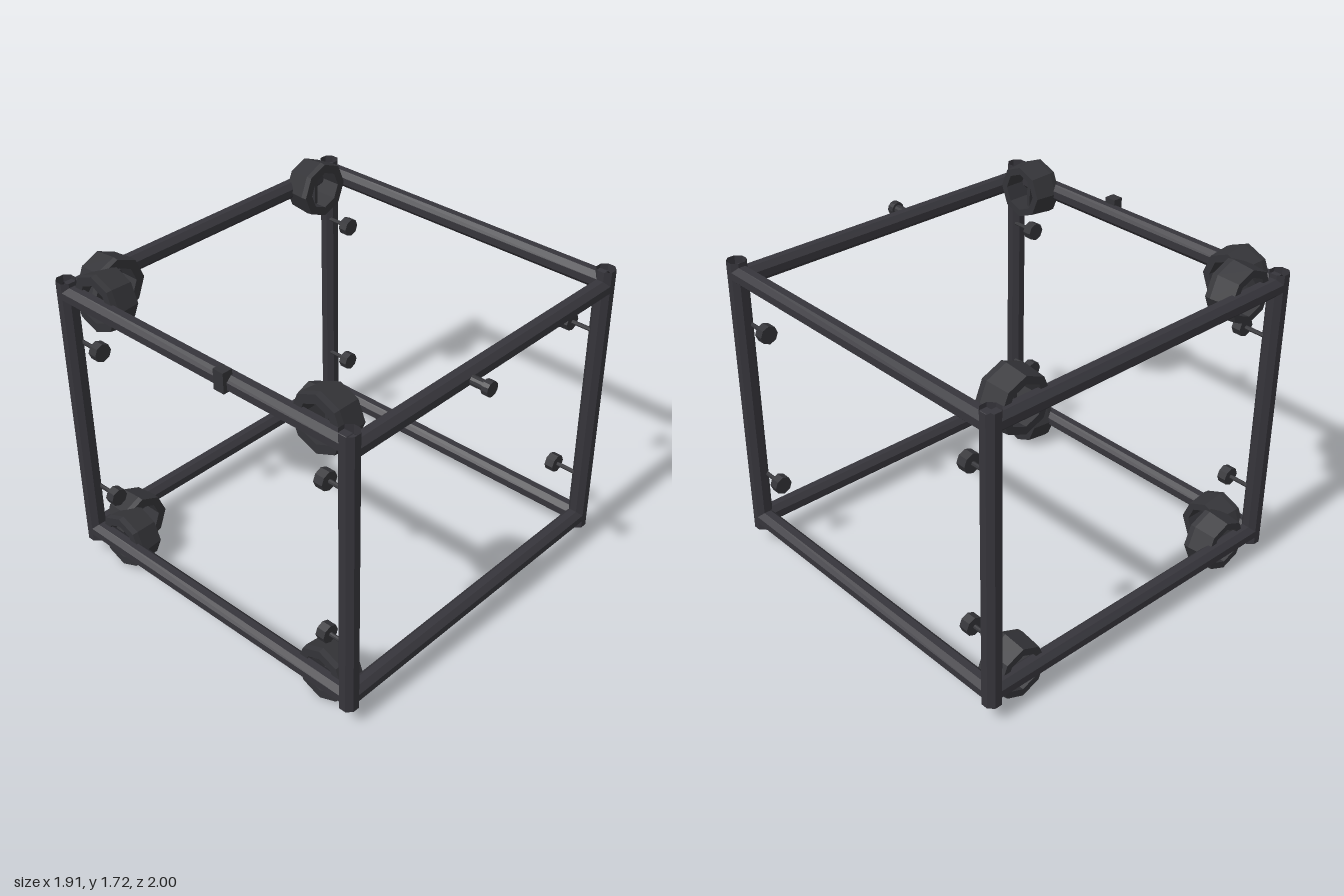
import * as THREE from 'three';

export function createModel() {
  const model = new THREE.Group();
  const frameMat = new THREE.MeshStandardMaterial({ color: 0x36353b, side: THREE.DoubleSide });
  frameMat.name = 'charcoal frame';
  const fittingMat = new THREE.MeshStandardMaterial({ color: 0x343438 });
  fittingMat.name = 'dark fittings';

  // Faceted copy of a geometry
  const facet = (g) => {
    const f = g.index ? g.toNonIndexed() : g;
    f.computeVertexNormals();
    return f;
  };
  const add = (name, geometry, material, x, y, z) => {
    const mesh = new THREE.Mesh(geometry, material);
    mesh.name = name;
    mesh.position.set(x, y, z);
    model.add(mesh);
    return mesh;
  };
  // Turn a y-axis geometry to run along another axis
  const along = (g, axis) => {
    if (axis === 'x') g.rotateZ(-Math.PI / 2);
    if (axis === 'z') g.rotateX(Math.PI / 2);
    return facet(g);
  };
  // Eight-sided open tube with flats facing the axes
  const tube = (length, axis) => along(
    new THREE.CylinderGeometry(0.0495, 0.0495, length, 8, 1, true, Math.PI / 8), axis);
  const rod = (radius, length, axis, sides = 8) => along(
    new THREE.CylinderGeometry(radius, radius, length, sides), axis);

  const left = 0.907, right = -0.893, front = 0.846, back = -0.952;
  const midX = (left + right) / 2, midZ = (front + back) / 2;
  const low = 0.157, high = 1.573;

  // Corner posts
  for (const x of [left, right]) {
    for (const z of [front, back]) add('cornerPost', tube(1.545, 'y'), frameMat, x, 0.868, z);
  }

  // Horizontal rails; the front top rail sits slightly lower
  for (const y of [low, high]) {
    for (const x of [left, right]) add('sideRail', tube(front - back, 'z'), frameMat, x, y, midZ);
    add('backRail', tube(left - right, 'x'), frameMat, midX, y, back);
    add('frontRail', tube(left - right, 'x'), frameMat, midX, y === high ? 1.546 : y, front);
  }

  // Octagonal clamp rings with a thin upright bar, facing into the frame
  const ringProfile = [
    [0.1, -0.075], [0.138, -0.075], [0.15, 0.045], [0.147, 0.075], [0.1, 0.075], [0.1, -0.075],
  ].map(([r, y]) => new THREE.Vector2(r, y));
  const clampRing = (axis, flip, x, y, z) => {
    const g = new THREE.LatheGeometry(ringProfile, 8);
    if (flip) g.rotateX(Math.PI);
    const group = new THREE.Group();
    group.name = 'clampRing';
    const body = new THREE.Mesh(along(g, axis), fittingMat);
    body.name = 'ringBody';
    const bar = new THREE.Mesh(new THREE.BoxGeometry(0.02, 0.21, 0.02), fittingMat);
    bar.name = 'ringBar';
    group.add(body, bar);
    group.position.set(x, y, z);
    model.add(group);
  };
  for (const y of [0.15, high]) {
    clampRing('z', false, 0.715, y, back + 0.075);
    clampRing('z', false, -0.695, y, back + 0.075);
    clampRing('x', true, right + 0.083, y, 0.652);
    clampRing('x', true, right + 0.083, y, -0.765);
  }

  // Knobs on stems, pointing inward from every post
  for (const x of [left - 0.025, right + 0.028]) {
    for (const y of [0.43, 1.3]) {
      for (const [z, dir] of [[front, -1], [back, 1]]) {
        add('knobStem', rod(0.011, 0.14, 'z'), fittingMat, x, y, z + dir * 0.08);
        add('knobHead', rod(0.048, 0.05, 'z'), fittingMat, x, y, z + dir * 0.163);
      }
    }
  }

  // Button on the front top rail
  add('buttonStem', rod(0.025, 0.09, 'z', 12), fittingMat, -0.157, 1.544, 0.925);
  add('buttonHead', rod(0.038, 0.036, 'z', 12), fittingMat, -0.157, 1.544, 0.981);

  // Small block on the right top rail
  add('sideBlock', new THREE.BoxGeometry(0.055, 0.105, 0.062), fittingMat, -0.931, 1.595, 0.152);

  return model;
}
